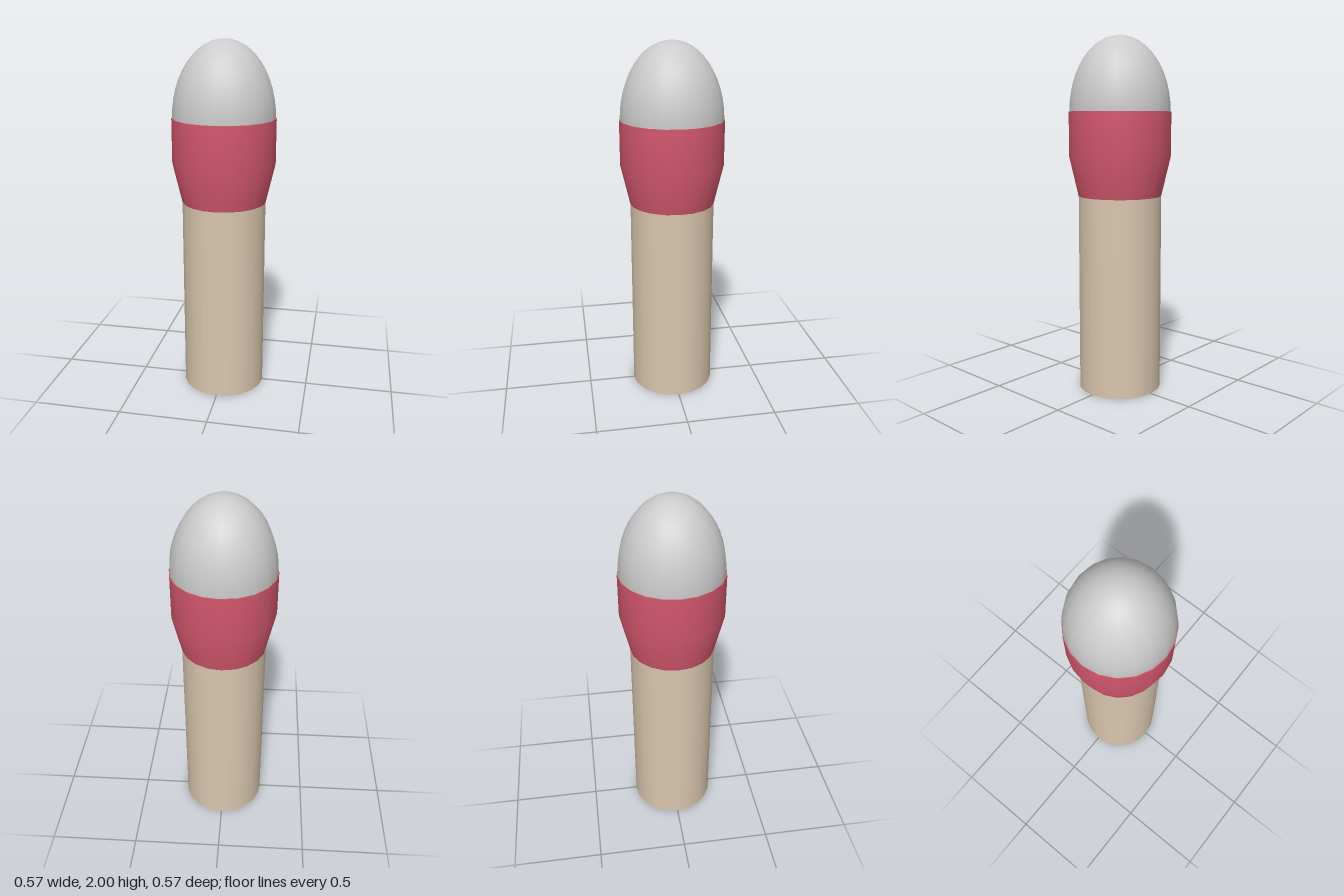
import * as THREE from 'three';

const SIDES = 20;

function part(name, geometry, color) {
  const mesh = new THREE.Mesh(geometry, new THREE.MeshStandardMaterial({ color }));
  mesh.name = name;
  return mesh;
}

export function createModel() {
  const group = new THREE.Group();
  group.name = 'matchstick';

  // Wooden stick, closed at the bottom
  const stick = part('stick', new THREE.CylinderGeometry(0.235, 0.235, 1.12, SIDES), 0xd9c6ae);
  stick.position.y = 0.56;

  // Red collar: flares out from the stick, then rises straight
  const profile = [[0.235, 1.115], [0.287, 1.34], [0.287, 1.585]].map(([r, y]) => new THREE.Vector2(r, y));
  const collar = part('collar', new THREE.LatheGeometry(profile, SIDES), 0xd4586e);

  // Narrow flat rim closing the collar around the tip
  const rim = part('collarRim', new THREE.RingGeometry(0.27, 0.287, SIDES).rotateX(-Math.PI / 2), 0xd4586e);
  rim.position.y = 1.585;

  // Tall half-ellipsoid tip
  const dome = new THREE.SphereGeometry(1, SIDES, 12, 0, Math.PI * 2, 0, Math.PI / 2);
  const tip = part('tip', dome.scale(0.283, 0.415, 0.283), 0xcccccc);
  tip.position.y = 1.585;

  group.add(stick, collar, rim, tip);
  return group;
}
